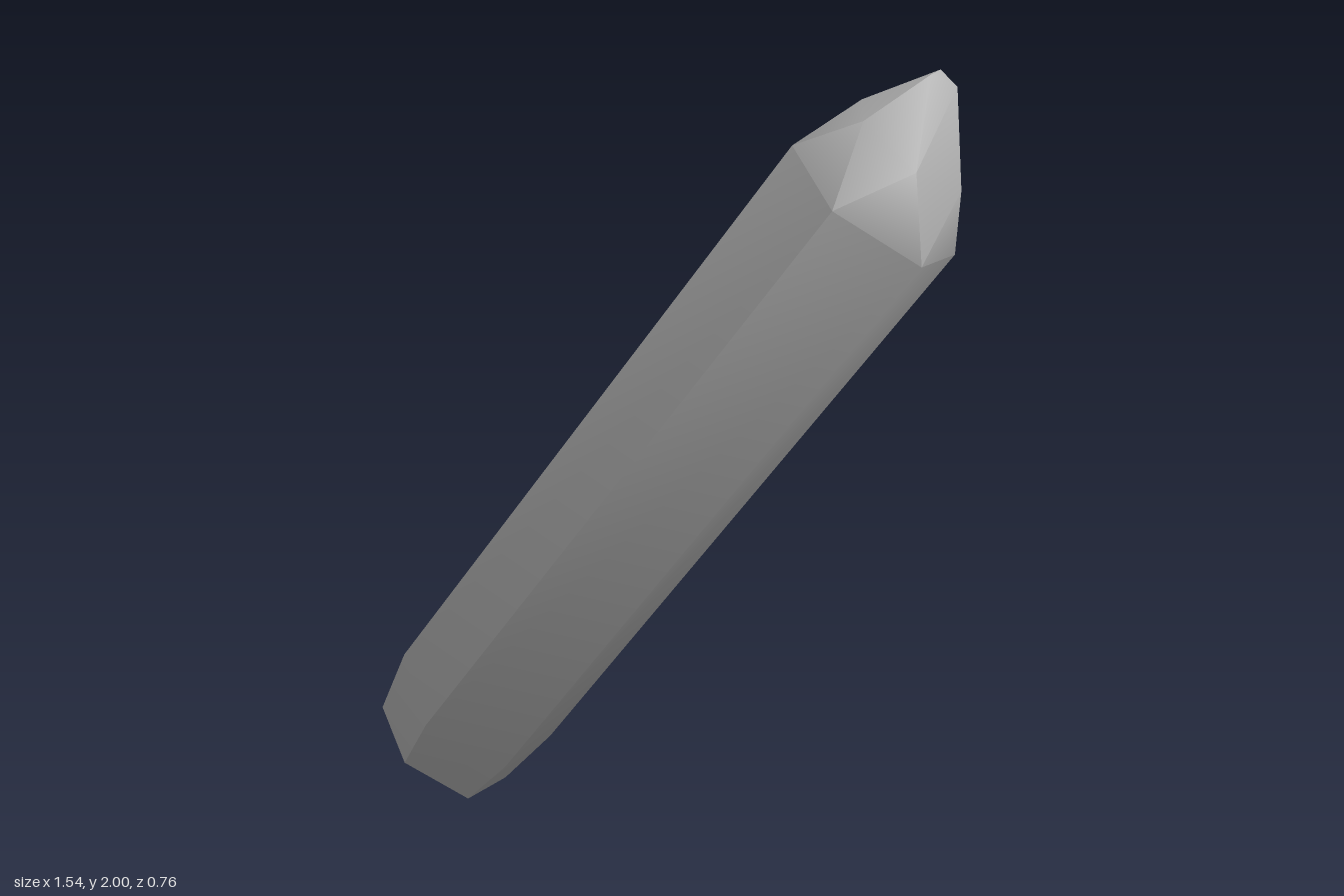
import * as THREE from 'three';
import { toCreasedNormals } from 'three/addons/utils/BufferGeometryUtils.js';

// Six-sided cross-sections, bottom to top, counter-clockwise seen from above
const shoulder = [[0.38, 1.83, 0.21], [0.49, 1.70, 0.385], [0.69, 1.57, 0.32],
  [0.76, 1.57, 0.09], [0.64, 1.70, -0.09], [0.45, 1.83, -0.02]];
const lower = shoulder.map(([x, y, z]) => [x - 1.07, y - 1.42, z - 0.29]);
const base = [[-0.775, 0.23, -0.13], [-0.67, 0.13, 0.01], [-0.51, 0.01, -0.05],
  [-0.45, 0, -0.23], [-0.56, 0.11, -0.37], [-0.72, 0.23, -0.33]];
const upper = [[0.53, 1.93, 0.095], [0.545, 1.89, 0.25], [0.67, 1.78, 0.30],
  [0.77, 1.73, 0.18], [0.755, 1.78, 0.03], [0.63, 1.88, -0.02]];

// The tip is a tiny triangle whose corners are shared by pairs of sides
const peak = [0.71, 2, 0.10], front = [0.69, 1.99, 0.14], side = [0.75, 1.96, 0.08];
const tip = [peak, front, front, side, side, peak];

function loft(rings) {
  const positions = [];
  const tri = (a, b, c) => {
    if (a !== b && b !== c && a !== c) positions.push(...a, ...b, ...c);
  };
  // Sides
  for (let r = 0; r < rings.length - 1; r++) {
    for (let i = 0; i < 6; i++) {
      const j = (i + 1) % 6;
      const a = rings[r], b = rings[r + 1];
      tri(a[i], a[j], b[j]);
      tri(a[i], b[j], b[i]);
    }
  }
  // End caps
  const bottom = rings[0], top = rings[rings.length - 1];
  for (let i = 1; i < 5; i++) {
    tri(bottom[0], bottom[i + 1], bottom[i]);
    tri(top[0], top[i], top[i + 1]);
  }
  const geometry = new THREE.BufferGeometry();
  geometry.setAttribute('position', new THREE.Float32BufferAttribute(positions, 3));
  return toCreasedNormals(geometry, 0.7);
}

export function createModel() {
  const group = new THREE.Group();
  group.name = 'crystalShard';
  const stone = new THREE.MeshStandardMaterial({ color: 0xb4b4b4 });
  stone.name = 'greyStone';
  const crystal = new THREE.Mesh(loft([base, lower, shoulder, upper, tip]), stone);
  crystal.name = 'crystal';
  group.add(crystal);
  return group;
}
